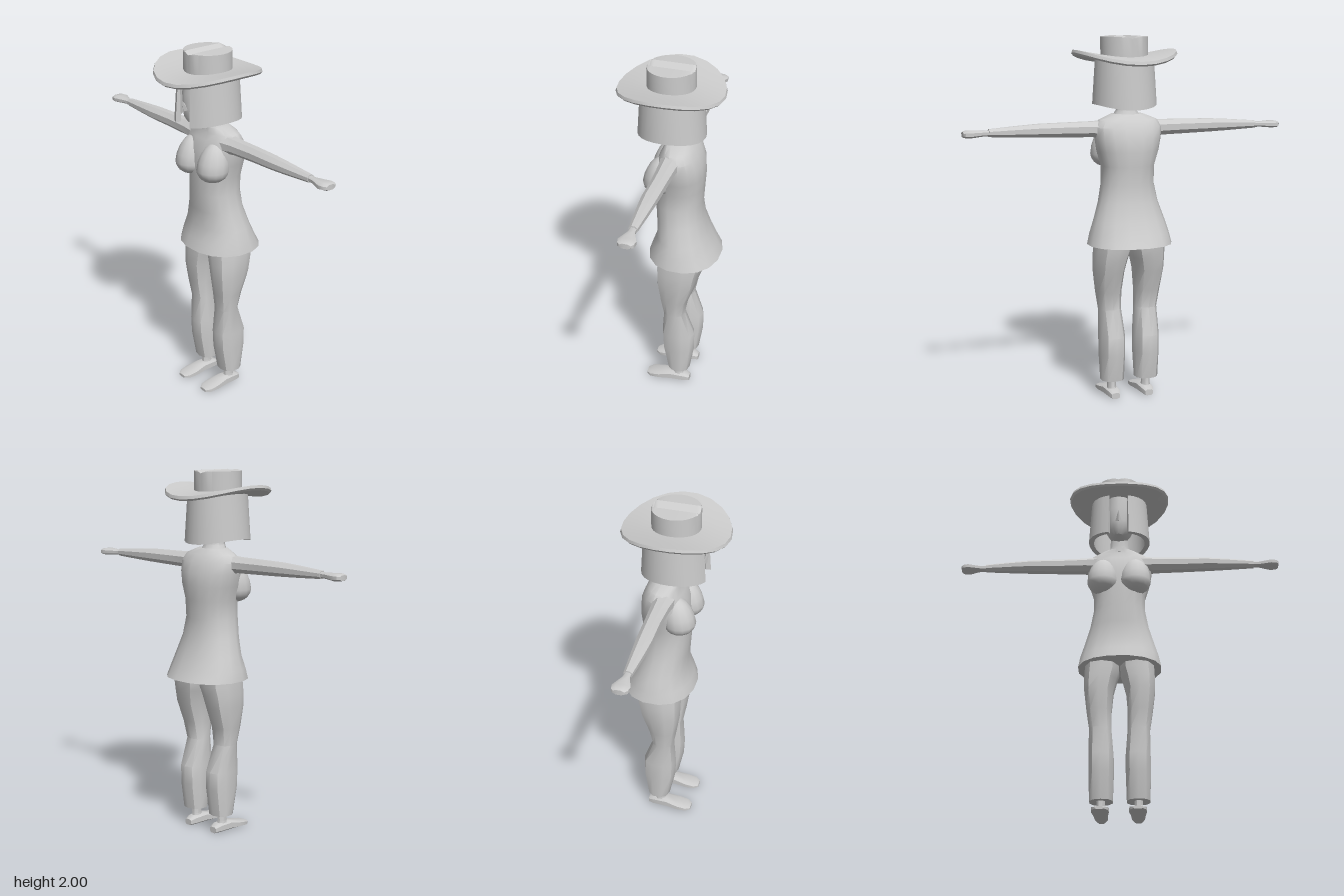
import * as THREE from 'three';
import { mergeGeometries, toCreasedNormals } from 'three/addons/utils/BufferGeometryUtils.js';

const material = new THREE.MeshStandardMaterial({ color: 0xcccccc, side: THREE.DoubleSide });

// Skins a list of equal-length rings and closes both ends.
function loft(rings) {
  const n = rings[0].length;
  const pos = [], index = [];
  rings.forEach(r => r.forEach(p => pos.push(...p)));
  for (let i = 0; i < rings.length - 1; i++) {
    for (let j = 0; j < n; j++) {
      const a = i * n + j, b = i * n + (j + 1) % n;
      index.push(a, a + n, b, b, a + n, b + n);
    }
  }
  [0, rings.length - 1].forEach((i, end) => {
    const c = pos.length / 3;
    for (let k = 0; k < 3; k++) pos.push(rings[i].reduce((s, p) => s + p[k], 0) / n);
    for (let j = 0; j < n; j++) {
      const a = i * n + j, b = i * n + (j + 1) % n;
      index.push(c, end ? b : a, end ? a : b);
    }
  });
  const g = new THREE.BufferGeometry();
  g.setAttribute('position', new THREE.Float32BufferAttribute(pos, 3));
  g.setIndex(index);
  return g;
}

// Maps (along, across a, across b) to x, y, z for each loft axis.
const axes = {
  x: (t, a, b) => [t, b, a],
  y: (t, a, b) => [a, t, b],
  z: (t, a, b) => [b, a, t],
};

// Rounded limb from sections [position, aMin, aMax, bMin, bMax].
function limb(sections, axis, sides, power = 1) {
  const bend = v => Math.sign(v) * Math.abs(v) ** power;
  return loft(sections.map(([t, a0, a1, b0, b1]) =>
    Array.from({ length: sides }, (_, j) => {
      const k = ((j + 0.5) / sides) * Math.PI * 2;
      return axes[axis](t,
        (a0 + a1) / 2 + bend(Math.cos(k)) * (a1 - a0) / 2,
        (b0 + b1) / 2 + bend(Math.sin(k)) * (b1 - b0) / 2);
    })));
}

function reshape(g, rule) {
  const p = g.attributes.position, v = new THREE.Vector3();
  for (let i = 0; i < p.count; i++) {
    rule(v.fromBufferAttribute(p, i));
    p.setXYZ(i, v.x, v.y, v.z);
  }
  return g;
}

const mirrorA = s => s.map(([t, a0, a1, b0, b1]) => [t, -a1, -a0, b0, b1]);
const mirrorB = s => s.map(([t, a0, a1, b0, b1]) => [t, a0, a1, -b1, -b0]);
const mirrorT = s => s.map(([t, ...r]) => [-t, ...r]).reverse();

export function createModel() {
  const model = new THREE.Group();
  const add = (name, geometry, crease = 0.7) => {
    const mesh = new THREE.Mesh(toCreasedNormals(geometry, crease), material);
    mesh.name = name;
    model.add(mesh);
  };

  // Flared jacket rising into shoulders and neck
  add('jacket', limb([
    [0.87, -0.235, 0.235, -0.285, 0.115], [0.93, -0.222, 0.222, -0.252, 0.095],
    [1.0, -0.2, 0.2, -0.22, 0.07], [1.1, -0.167, 0.167, -0.187, 0.072],
    [1.2, -0.147, 0.147, -0.176, 0.08], [1.3, -0.148, 0.148, -0.183, 0.08],
    [1.38, -0.172, 0.172, -0.188, 0.08], [1.45, -0.185, 0.185, -0.182, 0.07],
    [1.51, -0.19, 0.19, -0.16, 0.05], [1.55, -0.165, 0.165, -0.135, 0.03],
    [1.58, -0.09, 0.09, -0.108, 0.03],
  ], 'y', 16, 0.9));
  add('neck', limb([
    [1.56, -0.085, 0.085, -0.11, 0.035], [1.6, -0.055, 0.055, -0.088, 0.032],
    [1.7, -0.048, 0.048, -0.085, 0.035],
  ], 'y', 10));

  // Head with a small nose
  add('head', limb([
    [1.62, -0.03, 0.03, 0.05, 0.13], [1.65, -0.06, 0.06, -0.04, 0.15],
    [1.7, -0.08, 0.08, -0.1, 0.155], [1.78, -0.092, 0.092, -0.135, 0.155],
    [1.87, -0.085, 0.085, -0.13, 0.145],
  ], 'y', 14), 1);
  add('nose', new THREE.ConeGeometry(0.018, 0.06, 4)
    .rotateX(0.45).translate(0, 1.72, 0.16));

  // Limbs, mirrored left and right
  const arm = [
    [0.12, -0.1, 0.03, 1.44, 1.55], [0.2, -0.085, 0.018, 1.455, 1.545],
    [0.35, -0.08, 0.01, 1.459, 1.543], [0.5, -0.077, 0.012, 1.463, 1.54],
    [0.62, -0.07, 0.003, 1.468, 1.532], [0.77, -0.06, -0.012, 1.476, 1.52],
  ];
  const hand = [
    [0.75, -0.052, -0.018, 1.48, 1.514], [0.8, -0.057, -0.015, 1.481, 1.512],
    [0.87, -0.088, 0.012, 1.475, 1.516], [0.9, -0.083, 0.004, 1.477, 1.514],
    [0.91, -0.07, -0.01, 1.48, 1.51],
  ];
  const leg = [
    [0.1, 0.035, 0.165, -0.14, -0.015], [0.25, 0.03, 0.17, -0.165, 0.018],
    [0.35, 0.03, 0.17, -0.166, 0.024], [0.5, 0.042, 0.168, -0.11, 0.012],
    [0.6, 0.042, 0.183, -0.13, 0.03], [0.72, 0.032, 0.197, -0.175, 0.05],
    [0.79, 0.015, 0.199, -0.19, 0.052], [0.84, 0, 0.197, -0.203, 0.052],
    [0.93, 0, 0.19, -0.21, 0.05],
  ];
  const ankle = [
    [0.03, 0.07, 0.13, -0.11, -0.035], [0.06, 0.077, 0.125, -0.1, -0.042],
    [0.13, 0.075, 0.127, -0.103, -0.04],
  ];
  const foot = [
    [-0.14, 0, 0.035, 0.075, 0.122], [-0.11, 0, 0.05, 0.063, 0.134],
    [-0.03, 0, 0.055, 0.058, 0.14], [0.04, 0, 0.038, 0.05, 0.148],
    [0.09, 0, 0.028, 0.054, 0.145], [0.115, 0.003, 0.02, 0.075, 0.125],
  ];
  for (const [side, left] of [['left', true], ['right', false]]) {
    const pick = (s, mirror) => (left ? s : mirror(s));
    add(side + 'Arm', limb(pick(arm, mirrorT), 'x', 8));
    add(side + 'Hand', limb(pick(hand, mirrorT), 'x', 8, 0.8));
    add(side + 'Leg', limb(pick(leg, mirrorA), 'y', 10, 0.85));
    add(side + 'Ankle', limb(pick(ankle, mirrorA), 'y', 8));
    add(side + 'Foot', limb(pick(foot, mirrorB), 'z', 8, 0.6));

    // Bust: round below, drawn out towards the shoulder above
    const bust = reshape(new THREE.SphereGeometry(1, 14, 10), v => {
      const up = Math.max(v.y, 0);
      v.set((left ? 1 : -1) * 0.092 + v.x * 0.088,
        1.355 + v.y * (up ? 0.15 : 0.07), 0.04 + v.z * 0.09 - up * 0.02);
    });
    add(side + 'Bust', bust, 0.9);
  }

  // Long hair: a thick shell open in front of the face
  const gap = 0.34;
  const profile = [[0.14, 1.63], [0.185, 1.632], [0.168, 1.88], [0.145, 1.88], [0.14, 1.63]]
    .map(([r, y]) => new THREE.Vector2(r + (r < 0.146 ? 0.015 : 0), y));
  const hairEnd = phi => new THREE.ShapeGeometry(new THREE.Shape(profile))
    .rotateY(phi - Math.PI / 2);
  const hair = mergeGeometries([
    new THREE.LatheGeometry(profile, 24, gap, Math.PI * 2 - gap * 2),
    hairEnd(gap), hairEnd(-gap),
  ]);
  reshape(hair, v => {
    if (v.y < 1.7) v.y -= 0.024 * (v.z / 0.18) ** 2;
    v.x *= 0.95;
    v.z -= 0.003;
  });
  add('hair', hair);

  // Hat brim curling up at the sides
  const brim = new THREE.LatheGeometry([
    [0, 1.862], [0.13, 1.862], [0.21, 1.862], [0.28, 1.86], [0.29, 1.87],
    [0.285, 1.886], [0.21, 1.89], [0.13, 1.89], [0, 1.89],
  ].map(p => new THREE.Vector2(...p)), 22);
  add('hatBrim', reshape(brim, v => {
    v.y += 0.042 * (v.x / 0.29) ** 2 - 0.018 * (v.z / 0.29) ** 2;
  }));

  // Hat crown with a crease running front to back
  const crown = Array.from({ length: 19 }, (_, i) => {
    const k = (i / 18) * Math.PI;
    const z = -0.13 * Math.cos(k), w = Math.max(0.13 * Math.sin(k), 0.004);
    const g = Math.min(0.037, w * 0.9), top = 1.985 + 0.015 * Math.min(1, Math.sin(k) * 2);
    return [[-w, 1.87], [-w, top - 0.005], [-g, top], [0, top - g * 0.68],
      [g, top], [w, top - 0.005], [w, 1.87]].map(([x, y]) => [x, y, z]);
  });
  add('hatCrown', loft(crown), 0.5);

  return model;
}
